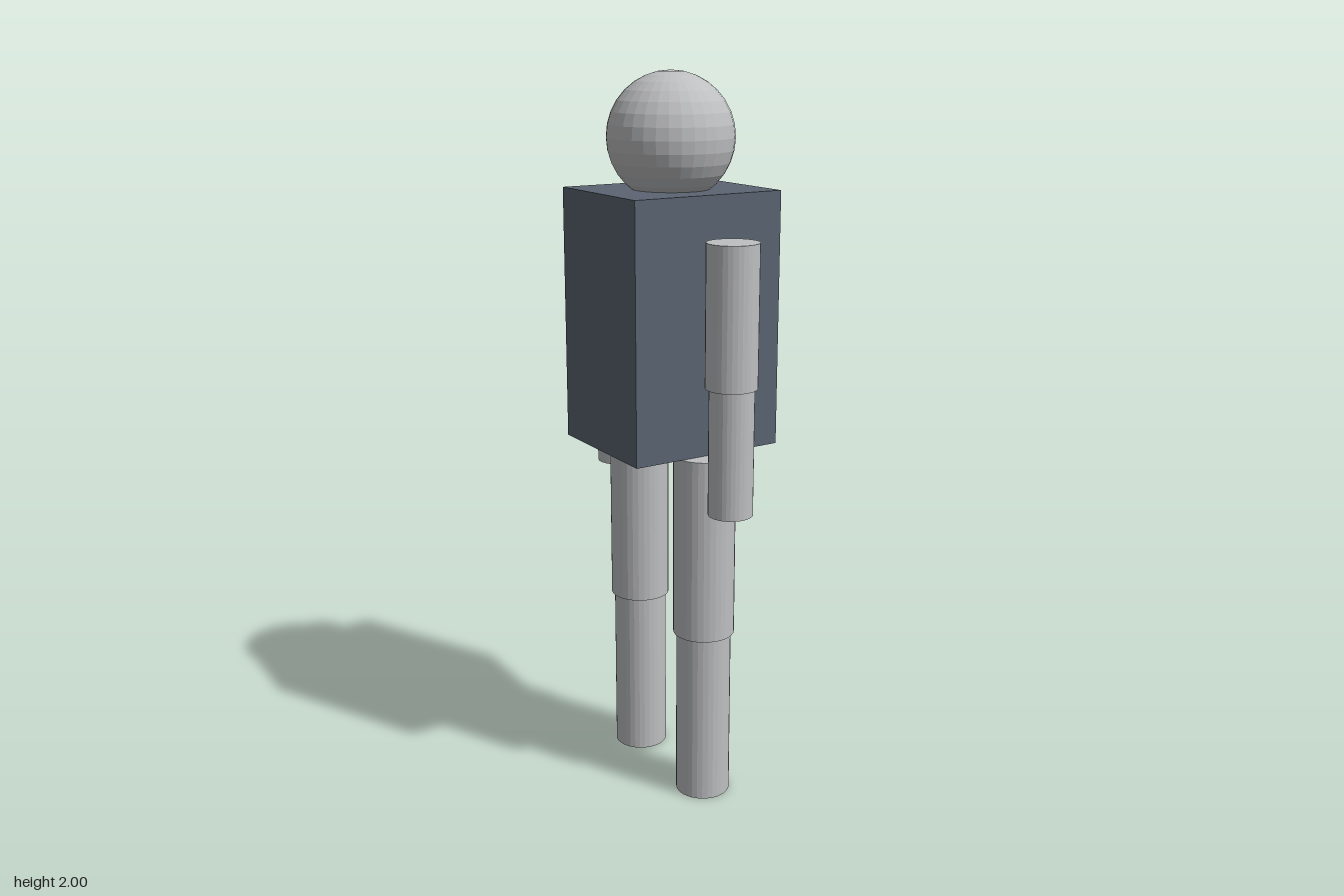
import * as THREE from 'three';

export function createModel() {
  const model = new THREE.Group();
  model.name = 'blockFigure';

  const paleGrey = new THREE.MeshStandardMaterial({ color: 0xbebfc1 });
  paleGrey.name = 'paleGrey';
  paleGrey.flatShading = true;
  const slate = new THREE.MeshStandardMaterial({ color: 0x5b6572 });
  slate.name = 'slate';

  function add(parent, name, geometry, material, x, y, z) {
    const mesh = new THREE.Mesh(geometry, material);
    mesh.name = name;
    mesh.position.set(x, y, z);
    parent.add(mesh);
  }

  // Upright cylinder spanning bottom to top
  function segment(parent, name, radius, bottom, top, z) {
    const geometry = new THREE.CylinderGeometry(radius, radius, top - bottom, 32);
    add(parent, name, geometry, paleGrey, 0, (bottom + top) / 2, z);
  }

  // Torso and head
  add(model, 'torso', new THREE.BoxGeometry(0.447, 0.692, 0.378), slate, 0, 1.349, 0);
  add(model, 'head', new THREE.SphereGeometry(0.171, 32, 16), paleGrey, 0, 1.829, 0);

  // Arms and legs, mirrored front to back
  for (const [side, s] of [['front', 1], ['back', -1]]) {
    const arm = new THREE.Group();
    arm.name = side + 'Arm';
    segment(arm, 'upperArm', 0.069, 1.212, 1.588, s * 0.294);
    segment(arm, 'forearm', 0.06, 0.868, 1.212, s * 0.296);

    const leg = new THREE.Group();
    leg.name = side + 'Leg';
    segment(leg, 'thigh', 0.085, 0.488, 1.003, s * 0.172);
    segment(leg, 'shin', 0.076, 0, 0.488, s * 0.172);

    model.add(arm, leg);
  }
  return model;
}
